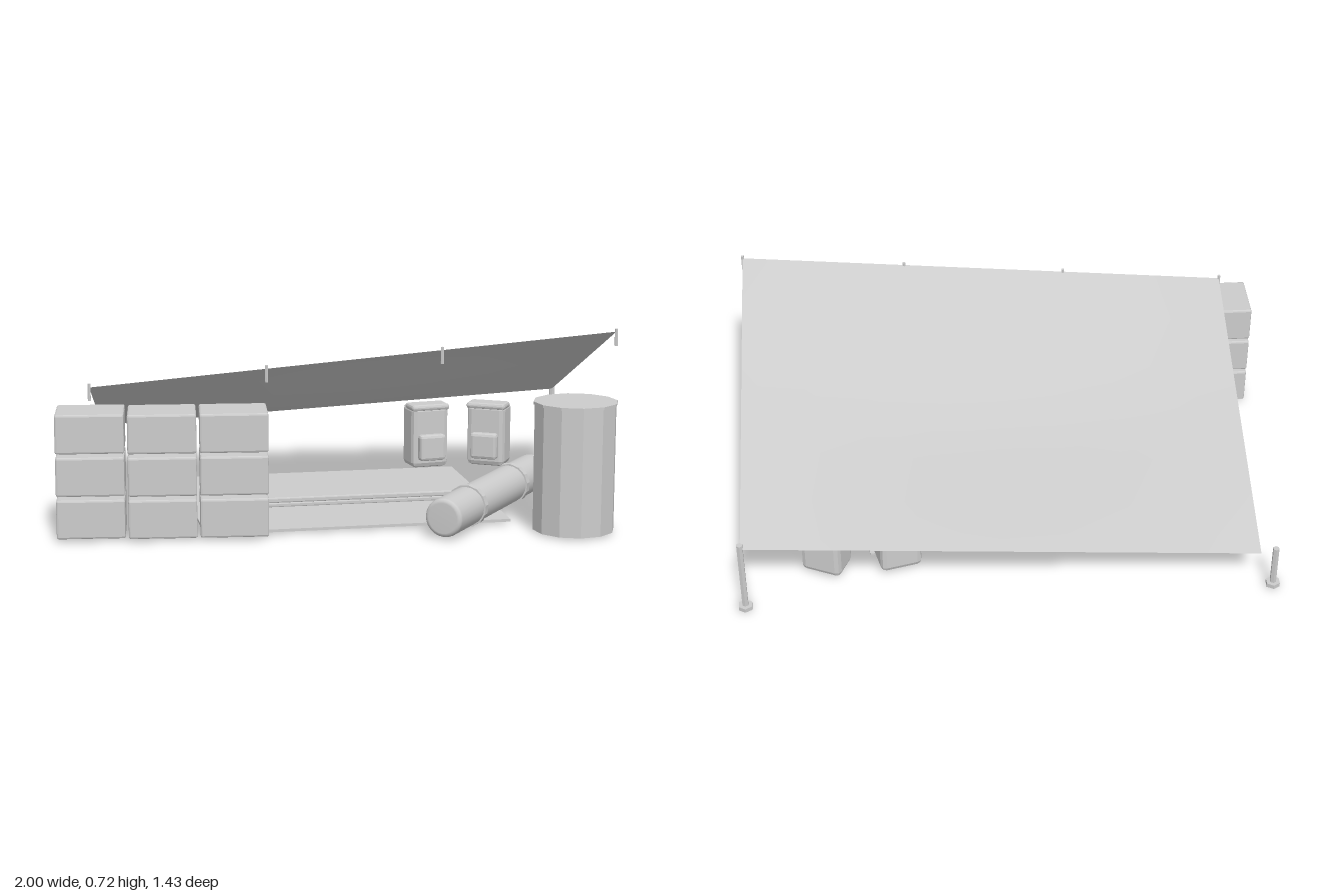
import * as THREE from 'three';
import { RoundedBoxGeometry } from 'three/addons/geometries/RoundedBoxGeometry.js';

const canvasGrey = new THREE.MeshStandardMaterial({ color: 0xcccccc, side: THREE.DoubleSide });
canvasGrey.name = 'canvasGrey';

// Faceted normals for low-poly parts
function flat(geometry) {
  const g = geometry.index ? geometry.toNonIndexed() : geometry;
  g.computeVertexNormals();
  return g;
}

function add(parent, name, geometry, x = 0, y = 0, z = 0) {
  const mesh = new THREE.Mesh(geometry, canvasGrey);
  mesh.name = name;
  mesh.position.set(x, y, z);
  parent.add(mesh);
  return mesh;
}

function group(parent, name, x, y, z, turn = 0) {
  const g = new THREE.Group();
  g.name = name;
  g.position.set(x, y, z);
  g.rotation.y = turn;
  parent.add(g);
  return g;
}

const chamferBox = (w, h, d, r) => flat(new RoundedBoxGeometry(w, h, d, 1, r));
const mix = THREE.MathUtils.lerp;

// Sloping sheet with straight edges and a sagging middle
function tarpGeometry() {
  const g = new THREE.PlaneGeometry(1, 1, 8, 6);
  const p = g.attributes.position;
  for (let i = 0; i < p.count; i++) {
    const u = p.getX(i) + 0.5, v = 0.5 - p.getY(i); // v: 0 back, 1 front
    const sag = 0.062 * Math.sin(Math.PI * v) ** 2 * Math.sin(Math.PI * u);
    const y = mix(mix(0.163, 0.289, u), mix(0.535, 0.71, u), v) - sag;
    p.setXYZ(i, mix(-0.88, 0.975, u), y, mix(-0.69, 0.515, v));
  }
  g.computeVertexNormals();
  return g;
}

// Cylinder with small filleted ends, running up its own y axis
function rollGeometry(radius, length, fillet) {
  const points = [new THREE.Vector2(0, 0)];
  for (const end of [0, 1]) {
    for (let i = 0; i <= 3; i++) {
      const a = ((end ? 3 - i : i) / 3) * Math.PI / 2;
      const inset = fillet * (1 - Math.cos(a));
      points.push(new THREE.Vector2(
        radius - fillet + fillet * Math.sin(a), end ? length - inset : inset));
    }
  }
  points.push(new THREE.Vector2(0, length));
  return new THREE.LatheGeometry(points, 24);
}

export function createModel() {
  const model = new THREE.Group();
  model.name = 'campShelter';

  // Tarp and the pegs along its front edge
  add(model, 'tarp', tarpGeometry());
  for (let i = 0; i < 4; i++) {
    const x = mix(-0.88, 0.975, i / 3);
    const y = mix(0.518, 0.69, i / 3);
    add(model, 'frontPeg', flat(new THREE.CylinderGeometry(0.006, 0.006, 0.06, 6)), x, y, 0.515);
  }

  // Back poles on hexagonal feet
  for (const [x, top] of [[-0.932, 0.185], [0.975, 0.31]]) {
    const pole = group(model, 'backPole', x, 0, -0.69);
    add(pole, 'poleFoot', flat(new THREE.CylinderGeometry(0.027, 0.027, 0.016, 6)), 0, 0.019, 0);
    add(pole, 'poleShaft', flat(new THREE.CylinderGeometry(0.012, 0.012, top - 0.02, 6)), 0, (top + 0.02) / 2, 0);
  }

  // Stack of nine crates
  const columns = [[-0.88, 0.502], [-0.63, 0.517], [-0.38, 0.517]];
  for (const [x, z] of columns) {
    for (let row = 0; row < 3; row++) {
      add(model, 'crate', chamferBox(0.239, 0.138, 0.203, 0.007), x, 0.083 + row * 0.151, z);
    }
  }

  // Twelve-sided barrel with a thin lid
  const barrel = group(model, 'barrel', 0.825, 0, 0.565);
  add(barrel, 'barrelBody', flat(new THREE.CylinderGeometry(0.146, 0.146, 0.455, 12)), 0, 0.238, 0);
  add(barrel, 'barrelLid', flat(new THREE.CylinderGeometry(0.15, 0.15, 0.01, 12)), 0, 0.468, 0);

  // Duffel roll lying diagonally, with two straps
  const duffel = group(model, 'duffelRoll', 0.343, 0.081, 0.668);
  duffel.quaternion.setFromUnitVectors(
    new THREE.Vector3(0, 1, 0), new THREE.Vector3(0.52, 0, -0.854).normalize());
  add(duffel, 'rollBody', rollGeometry(0.07, 0.85, 0.016));
  for (const t of [0.22, 0.62]) {
    add(duffel, 'rollStrap', flat(new THREE.CylinderGeometry(0.077, 0.077, 0.025, 14)), 0, t, 0);
  }

  // Ground sheet with a sleeping mat and a pillow
  const bed = group(model, 'bedding', 0.02, 0, 0.062, 0.105);
  add(bed, 'groundSheet', flat(new THREE.BoxGeometry(1.11, 0.01, 0.897)), 0, 0.016, 0);
  add(bed, 'sleepingMat', chamferBox(1.0, 0.016, 0.29, 0.004), 0.02, 0.028, -0.027);
  add(bed, 'matFold', chamferBox(1.0, 0.02, 0.05, 0.005), 0.02, 0.045, 0.09);
  add(bed, 'pillow', chamferBox(0.15, 0.022, 0.23, 0.008), -0.37, 0.046, -0.08);

  // Two backpacks with front pockets and top flaps
  for (const [x, z, turn] of [[0.423, -0.478, 0.25], [0.683, -0.487, -0.42]]) {
    const pack = group(model, 'backpack', x, 0, z, turn);
    add(pack, 'packBody', chamferBox(0.155, 0.25, 0.122, 0.02), 0, 0.148, 0);
    add(pack, 'packFlap', chamferBox(0.159, 0.025, 0.09, 0.01), 0, 0.267, 0.02);
    add(pack, 'packPocket', chamferBox(0.11, 0.105, 0.05, 0.012), 0, 0.108, 0.067);
  }

  return model;
}
